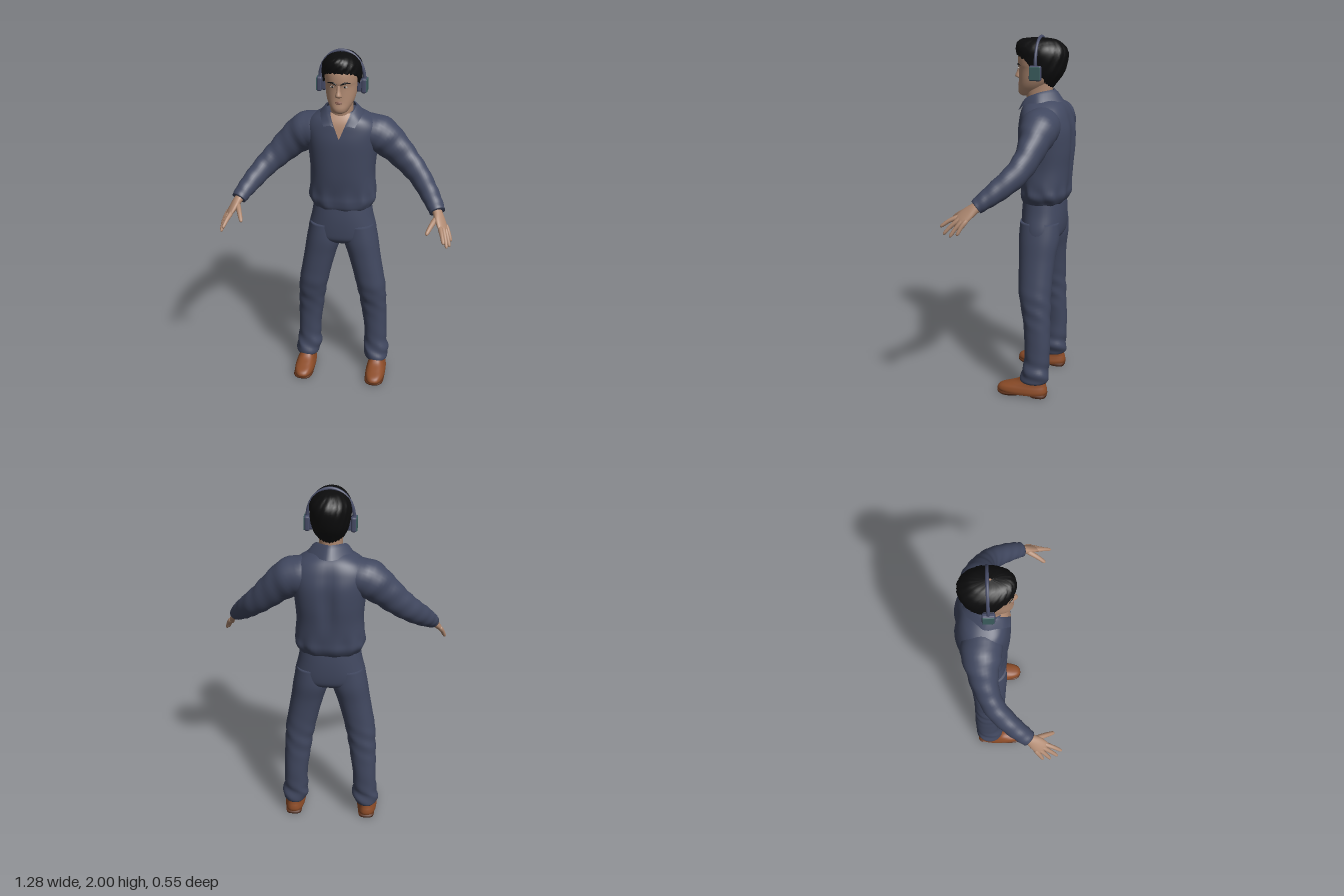
import * as THREE from 'three';
import { RoundedBoxGeometry } from 'three/addons/geometries/RoundedBoxGeometry.js';

const V = (x, y, z) => new THREE.Vector3(x, y, z);
const mat = (name, color, side = THREE.FrontSide) => Object.assign(new THREE.MeshStandardMaterial({ color, side }), { name });
const power = (v, e) => Math.sign(v) * Math.abs(v) ** (2 / e);
const bump = (v, centre, width) => Math.exp(-(((v - centre) / width) ** 2));
const ring = (n, f) => Array.from({ length: n }, (_, j) => f(j / n * Math.PI * 2, j));

// Catmull-Rom interpolation through rows of numbers
function smooth(rows, n) {
  const at = i => rows[Math.min(rows.length - 1, Math.max(0, i))];
  return Array.from({ length: (rows.length - 1) * n + 1 }, (_, m) => {
    const i = Math.floor(m / n), t = m / n - i, p = at(i - 1), r = at(i + 1), s = at(i + 2);
    return at(i).map((b, k) => {
      const c2 = 2 * p[k] - 5 * b + 4 * r[k] - s[k], c3 = 3 * b - p[k] - 3 * r[k] + s[k];
      return b + 0.5 * t * (r[k] - p[k] + t * (c2 + t * c3));
    });
  });
}

// Joins rows of points into a surface, closed around and capped by default
function surface(rows, closed = true, caps = closed) {
  const n = rows[0].length, pos = rows.flat().flatMap(p => [p.x, p.y, p.z]), idx = [];
  for (let i = 0; i < rows.length - 1; i++) {
    for (let j = 0; j < (closed ? n : n - 1); j++) {
      const a = i * n + j, b = i * n + (j + 1) % n;
      idx.push(a, b, b + n, a, b + n, a + n);
    }
  }
  if (caps) [0, rows.length - 1].forEach(r => {
    const c = rows[r].reduce((sum, p) => sum.add(p), V(0, 0, 0)).divideScalar(n), ci = pos.length / 3;
    pos.push(c.x, c.y, c.z);
    for (let j = 0; j < n; j++) {
      const a = r * n + j, b = r * n + (j + 1) % n;
      idx.push(ci, ...(r ? [a, b] : [b, a]));
    }
  });
  const g = new THREE.BufferGeometry();
  g.setAttribute('position', new THREE.Float32BufferAttribute(pos, 3));
  g.setIndex(idx);
  g.computeVertexNormals();
  return g;
}

// Level sections: [y, centre x, half width, front z, back z]
function loft(rows, { s = 1, e = 2.2, seg = 40, n = 5, tweak = () => {} } = {}) {
  return surface(smooth(rows, n).map(([y, cx, rx, zf, zb]) => ring(seg, a => {
    const p = V(cx * s + rx * power(Math.sin(a), e), y, (zf + zb) / 2 + (zf - zb) / 2 * power(Math.cos(a), e));
    tweak(p, a);
    return p;
  })));
}

// Sections across a path: [x, y, z, radius along ref, radius across]
function sweep(rows, { s = 1, ref = V(0, 1, 0), seg = 24, n = 5, fold = 0 } = {}) {
  const pts = smooth(rows, n).map(r => [V(r[0] * s, r[1], r[2]), r[3], r[4]]);
  return surface(pts.map(([c, ra, rb], i) => {
    const T = pts[Math.min(i + 1, pts.length - 1)][0].clone().sub(pts[Math.max(i - 1, 0)][0]).normalize();
    const N = ref.clone().addScaledVector(T, -ref.dot(T)).normalize(), B = T.clone().cross(N);
    return ring(seg, a => {
      const f = 1 + fold * Math.sin(i * 1.3 + 2 * a);
      return c.clone().addScaledVector(N, ra * f * Math.cos(a)).addScaledVector(B, rb * f * Math.sin(a));
    });
  }));
}

export function createModel() {
  const root = new THREE.Group();
  const cloth = mat('navy cloth', 0x414860, THREE.DoubleSide), hair = mat('black hair', 0x0c0c0d, THREE.DoubleSide);
  const skin = mat('skin', 0xb08a72), lips = mat('lips', 0x96695a), white = mat('eye white', 0xb9b0a8);
  const leather = mat('brown leather', 0x8c4c28), sole = mat('dark sole', 0x5c3019);
  const teal = mat('teal panel', 0x3c5f60), plastic = mat('slate plastic', 0x464b66);
  const add = (name, geo, m, parent = root, at = [0, 0, 0]) => {
    const mesh = new THREE.Mesh(geo, m);
    mesh.name = name;
    mesh.position.set(...at);
    parent.add(mesh);
    return mesh;
  };
  const group = name => {
    const g = new THREE.Group();
    g.name = name;
    root.add(g);
    return g;
  };

  // Shirt, gathered at the waist and hollowed along the spine
  const torso = [[1.095, 0, 0.16, -0.01, -0.225], [1.115, 0, 0.172, 0, -0.243], [1.15, 0, 0.19, 0.004, -0.258],
    [1.2, 0, 0.188, 0.004, -0.26], [1.3, 0, 0.181, 0.015, -0.268], [1.4, 0, 0.188, 0.02, -0.277], [1.5, 0, 0.2, 0.02, -0.275],
    [1.57, 0, 0.205, 0.01, -0.257], [1.615, 0, 0.178, 0, -0.238], [1.645, 0, 0.135, -0.015, -0.215], [1.67, 0, 0.085, -0.035, -0.18]];
  const drape = (p, a) => {
    const low = bump(p.y, 1.15, 0.06);
    p.x *= 1 + 0.02 * low * Math.sin(9 * a + 40 * p.y);
    p.z += 0.005 * low * Math.sin(11 * a);
    if (Math.cos(a) < 0) p.z += 0.02 * bump(p.x, 0, 0.035) * bump(p.y, 1.42, 0.15);
  };
  add('shirt', loft(torso, { e: 2.4, seg: 64, n: 6, tweak: drape }), cloth);

  // Open neckline lying on the chest
  const chest = smooth(torso, 6);
  const chestZ = (x, y) => {
    const i = chest.findIndex(r => r[0] >= y), a = chest[i - 1], b = chest[i], t = (y - a[0]) / (b[0] - a[0]);
    const [, , rx, zf, zb] = a.map((v, k) => THREE.MathUtils.lerp(v, b[k], t));
    return (zf + zb) / 2 + (zf - zb) / 2 * (1 - Math.abs(x / rx) ** 2.4) ** (1 / 2.4);
  };
  const neckline = Array.from({ length: 11 }, (_, i) => Array.from({ length: 9 }, (_, j) => {
    const y = 1.53 + i * 0.0135, x = (j / 4 - 1) * 0.056 * i / 10;
    return V(x, y, chestZ(x, y) + 0.005);
  }));
  add('neckline', surface(neckline, false), skin);

  // Folded collar
  const mirrored = half => new THREE.CatmullRomCurve3([...half.map(p => V(-p[0], p[1], p[2])),
    ...half.slice(0, -1).reverse().map(p => V(...p))]).getPoints(48);
  const inner = mirrored([[0.03, 1.6, 0.017], [0.062, 1.665, -0.02], [0.077, 1.7, -0.09], [0, 1.715, -0.168]]);
  const outer = mirrored([[0.085, 1.6, 0.014], [0.105, 1.635, -0.025], [0.118, 1.655, -0.12], [0, 1.65, -0.222]]);
  const ridge = inner.map((p, i) => p.clone().lerp(outer[i], 0.35).add(V(0, 0.008, 0)));
  add('collar', surface([inner, ridge, outer], false), cloth);

  add('hips', loft([[0.88, 0, 0.12, -0.04, -0.18], [0.91, 0, 0.19, -0.008, -0.222], [0.96, 0, 0.196, 0, -0.236],
    [1.05, 0, 0.175, 0, -0.238], [1.15, 0, 0.16, -0.01, -0.23]], { e: 2.3, seg: 48 }), cloth);

  const legRows = [[0.085, 0.212, 0.06, -0.05, -0.19], [0.1, 0.212, 0.069, -0.04, -0.198], [0.14, 0.207, 0.074, -0.045, -0.2],
    [0.2, 0.203, 0.068, -0.06, -0.2], [0.3, 0.2, 0.067, -0.06, -0.204], [0.4, 0.192, 0.073, -0.055, -0.202],
    [0.5, 0.183, 0.078, -0.04, -0.2], [0.6, 0.17, 0.085, -0.02, -0.2], [0.7, 0.15, 0.088, -0.014, -0.204],
    [0.8, 0.128, 0.093, -0.009, -0.212], [0.9, 0.106, 0.1, -0.003, -0.227], [1, 0.1, 0.085, -0.008, -0.225]];
  const legFolds = (p, a) => {
    const f = bump(p.y, 0.15, 0.07) + 0.5 * bump(p.y, 0.52, 0.1);
    p.x += 0.005 * f * Math.sin(70 * p.y + 2 * a);
    p.z += 0.005 * f * Math.cos(60 * p.y + 3 * a);
  };
  const armRows = [[0.1, 1.55, -0.13, 0.09, 0.1], [0.2, 1.523, -0.135, 0.105, 0.105], [0.28, 1.465, -0.13, 0.09, 0.08],
    [0.36, 1.39, -0.11, 0.076, 0.063], [0.43, 1.325, -0.07, 0.066, 0.058], [0.49, 1.26, 0, 0.057, 0.053],
    [0.53, 1.212, 0.06, 0.046, 0.048], [0.55, 1.183, 0.095, 0.039, 0.043]];
  const fingers = [['indexFinger', [0.573, 1.128, 0.19], [0.597, 1.078, 0.272]], ['middleFinger', [0.588, 1.12, 0.175], [0.615, 1.045, 0.25]],
    ['ringFinger', [0.598, 1.114, 0.156], [0.628, 1.037, 0.212]], ['littleFinger', [0.604, 1.115, 0.135], [0.633, 1.05, 0.172]],
    ['thumb', [0.545, 1.16, 0.14], [0.503, 1.105, 0.235]]];

  for (const s of [1, -1]) {
    const named = part => (s > 0 ? 'left' : 'right') + part;
    add(named('TrouserLeg'), loft(legRows, { s, n: 6, tweak: legFolds }), cloth);
    add(named('Sleeve'), sweep(armRows, { s, fold: 0.025, seg: 32, n: 6 }), cloth);
    // Shoe, sole and heel
    const shoe = group(named('Shoe'));
    add('upper', loft([[0.014, 0.217, 0.056, 0.09, -0.188], [0.03, 0.217, 0.059, 0.096, -0.194], [0.05, 0.217, 0.055, 0.08, -0.192],
      [0.068, 0.216, 0.049, 0.03, -0.187], [0.09, 0.214, 0.045, -0.025, -0.183], [0.13, 0.212, 0.042, -0.06, -0.18]], { s, e: 2.5 }), leather, shoe);
    add('sole', loft([[0.002, 0.217, 0.053, 0.085, -0.04], [0.012, 0.217, 0.058, 0.096, -0.06], [0.018, 0.217, 0.058, 0.097, -0.19]], { s, e: 2.5, n: 2 }), sole, shoe);
    add('heel', loft([[0, 0.217, 0.045, -0.1, -0.19], [0.018, 0.217, 0.048, -0.095, -0.194]], { s, e: 3, n: 1 }), sole, shoe);
    // Hand
    const hand = group(named('Hand')), ref = V(0.7 * s, 0.7, 0.2);
    add('palm', sweep([[0.535, 1.2, 0.07, 0.025, 0.032], [0.552, 1.178, 0.1, 0.024, 0.031], [0.568, 1.152, 0.133, 0.02, 0.04],
      [0.586, 1.122, 0.165, 0.015, 0.042], [0.593, 1.11, 0.178, 0.009, 0.036]], { s, ref }), skin, hand);
    for (const [name, a, b] of fingers) {
      const r = name === 'thumb' ? 0.014 : 0.0115;
      const rows = [[-0.15, 0.9, 0], [0.1, 1.1, 0.002], [0.5, 0.95, 0.006], [0.9, 0.75, 0.002], [1, 0.3, 0]]
        .map(([t, k, lift]) => [...a.map((v, i) => v + (b[i] - v) * t + (i === 1 ? lift : 0)), r * k, r * k]);
      add(name, sweep(rows, { s, ref, seg: 12, n: 3 }), skin, hand);
    }
    // Eye, iris and brow
    add(named('Eye'), new THREE.SphereGeometry(0.012, 16, 10), white, root, [0.034 * s, 1.826, 0.0215]).scale.set(1.1, 0.42, 0.4);
    add(named('Iris'), new THREE.SphereGeometry(0.005, 12, 8), hair, root, [0.033 * s, 1.826, 0.026]).scale.z = 0.5;
    add(named('Brow'), sweep([[0.012, 1.838, 0.032, 0.003, 0.003], [0.034, 1.848, 0.027, 0.005, 0.004], [0.06, 1.843, 0.008, 0.002, 0.003]], { s, seg: 8 }), hair);
    // Ear cup, cushion and outer panel
    add(named('EarCup'), new RoundedBoxGeometry(0.028, 0.08, 0.066, 3, 0.01), plastic, root, [0.12 * s, 1.81, -0.092]);
    add(named('EarCushion'), new RoundedBoxGeometry(0.03, 0.066, 0.056, 3, 0.01), plastic, root, [0.097 * s, 1.81, -0.092]);
    add(named('EarPanel'), new RoundedBoxGeometry(0.009, 0.07, 0.058, 2, 0.003), teal, root, [0.1335 * s, 1.81, -0.092]);
  }

  // Neck, head and face
  add('neck', loft([[1.6, 0, 0.068, -0.025, -0.16], [1.66, 0, 0.062, -0.016, -0.155], [1.71, 0, 0.062, -0.012, -0.155], [1.78, 0, 0.066, -0.02, -0.16]]), skin);
  add('head', loft([[1.676, 0, 0.022, 0.014, -0.03], [1.685, 0, 0.04, 0.028, -0.07], [1.705, 0, 0.055, 0.034, -0.11],
    [1.735, 0, 0.071, 0.03, -0.14], [1.77, 0, 0.081, 0.028, -0.17], [1.82, 0, 0.087, 0.028, -0.195], [1.85, 0, 0.09, 0.034, -0.205],
    [1.9, 0, 0.092, 0.03, -0.21], [1.94, 0, 0.08, 0.01, -0.19], [1.968, 0, 0.045, -0.03, -0.14]], { e: 2.15 }), skin);
  add('nose', loft([[1.768, 0, 0.012, 0.034, 0.01], [1.774, 0, 0.019, 0.047, 0.005], [1.783, 0, 0.017, 0.053, 0.005],
    [1.805, 0, 0.011, 0.043, 0.01], [1.835, 0, 0.009, 0.033, 0.01]], { e: 2, seg: 16 }), skin);
  for (const [name, y] of [['upperLip', 1.744], ['lowerLip', 1.736]])
    add(name, sweep([[-0.026, 1.74, 0.021, 0.001, 0.001], [0, y, 0.03, 0.0055, 0.0055], [0.026, 1.74, 0.021, 0.001, 0.001]], { seg: 10 }), lips);

  // Cropped hair: low at the nape, high over the brow
  const crop = smooth([[1.71, 0.055, -0.02, -0.15], [1.75, 0.078, 0, -0.178], [1.8, 0.097, 0.015, -0.215], [1.85, 0.105, 0.035, -0.233],
    [1.9, 0.108, 0.041, -0.239], [1.935, 0.1, 0.045, -0.228], [1.963, 0.076, 0.036, -0.2], [1.98, 0.048, 0.005, -0.165], [1.988, 0.005, -0.07, -0.09]], 12);
  const hairline = smooth([[0, 1.9], [0.6, 1.895], [1.1, 1.87], [1.4, 1.81], [1.75, 1.79], [2.2, 1.75], [3.15, 1.725]], 10);
  const hairRow = (t, inset) => ring(72, (a, j) => {
    const low = hairline.find(p => p[0] >= Math.min(a, Math.PI * 2 - a))[1] + 0.005 * Math.sin(j * 2.4);
    const y = THREE.MathUtils.lerp(low, 1.988, t), [, rx, zf, zb] = crop.find(r => r[0] >= y - 1e-6);
    const k = inset * (1 + 0.022 * Math.sin(j * 2.1 + t * 9) * Math.sin(t * 23 + j * 0.7));
    return V(rx * k * power(Math.sin(a), 2.1), y, (zf + zb) / 2 + (zf - zb) / 2 * k * power(Math.cos(a), 2.1));
  });
  const hairRows = Array.from({ length: 25 }, (_, i) => hairRow(Math.sin(i / 24 * Math.PI / 2), 1));
  add('hair', surface([hairRow(0, 0.8), ...hairRows], true, false), hair);

  const arc = ring(32, a => V(0.121 * Math.cos(a), 1.84 + 0.151 * Math.sin(a), -0.092)).slice(0, 17);
  add('headband', new THREE.TubeGeometry(new THREE.CatmullRomCurve3(arc), 48, 0.009, 10), plastic);
  return root;
}
